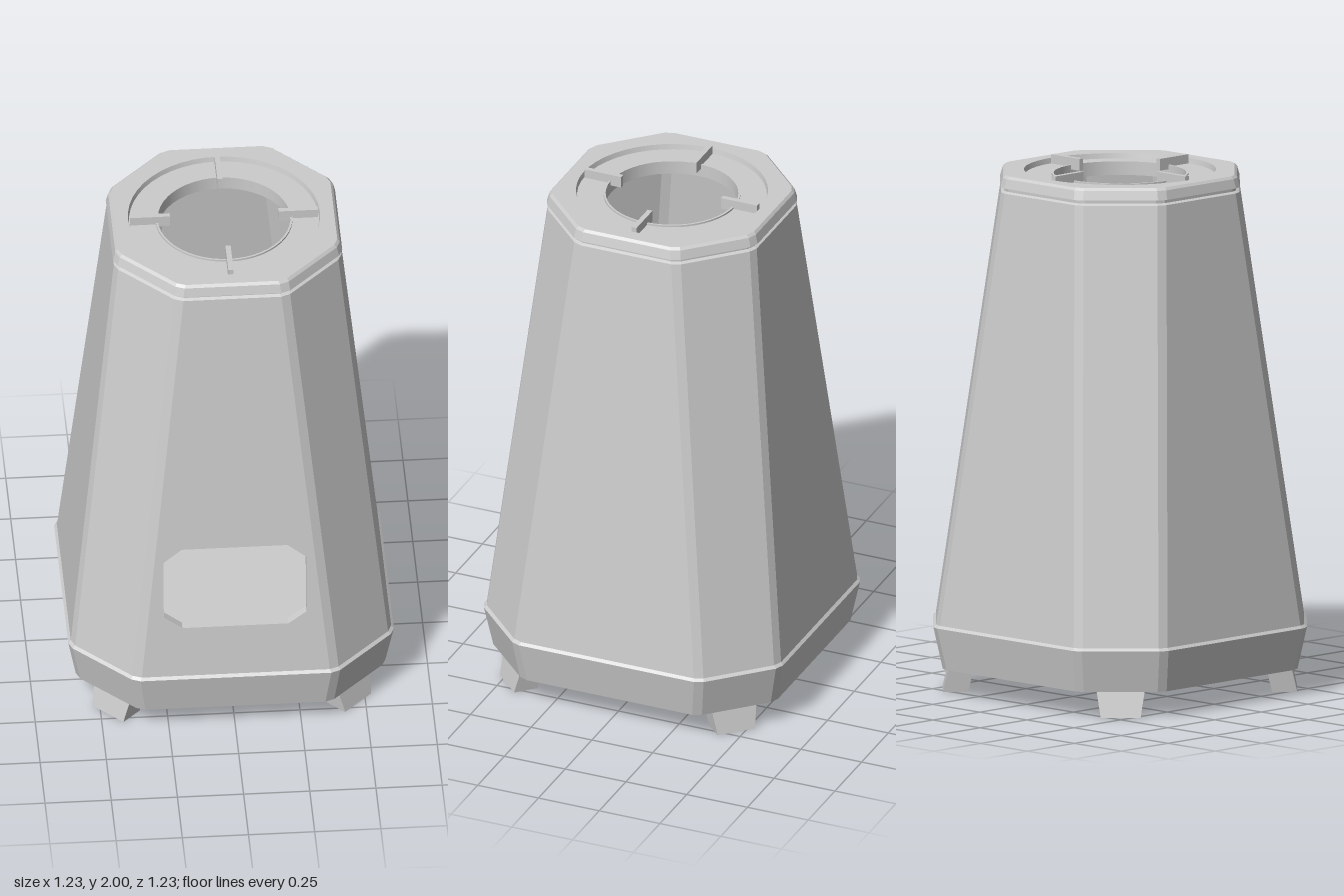
import * as THREE from 'three';

const mat = new THREE.MeshStandardMaterial({ color: 0xcccccc, flatShading: true });
const thinMat = new THREE.MeshStandardMaterial({ color: 0xcccccc, flatShading: true, side: THREE.DoubleSide });
const smoothMat = new THREE.MeshStandardMaterial({ color: 0xcccccc, side: THREE.DoubleSide });

// Octagon with softened corners: h = half extent, f = half width of a flat side
function octagon(h, f, t = 0.02) {
  const s = t * 0.707;
  const quarter = [[f - t, h], [f + s, h - s], [h - s, f + s], [h, f - t]];
  const pts = [];
  for (let k = 0; k < 4; k++) {
    for (const p of quarter) {
      let [x, z] = p;
      for (let r = 0; r < k; r++) [x, z] = [z, -x];
      pts.push([x, z]);
    }
  }
  return pts;
}

// Skin between octagon rings [y, h, f]; openFront leaves out the front panel
function loft(rings, openFront = false) {
  const pos = [];
  for (let r = 0; r < rings.length - 1; r++) {
    const [y0, h0, f0] = rings[r], [y1, h1, f1] = rings[r + 1];
    const lo = octagon(h0, f0), hi = octagon(h1, f1), n = lo.length;
    for (let i = 0; i < (openFront ? n - 1 : n); i++) {
      const j = (i + 1) % n;
      const a = [lo[i][0], y0, lo[i][1]], b = [lo[j][0], y0, lo[j][1]];
      const c = [hi[j][0], y1, hi[j][1]], d = [hi[i][0], y1, hi[i][1]];
      pos.push(...a, ...b, ...c, ...a, ...c, ...d);
    }
  }
  const geo = new THREE.BufferGeometry();
  geo.setAttribute('position', new THREE.Float32BufferAttribute(pos, 3));
  geo.computeVertexNormals();
  return geo;
}

const toShape = (pts) => new THREE.Shape(pts.map(([x, y]) => new THREE.Vector2(x, y)));

// Flat octagonal plate facing up or down, with an optional round hole
function plate(y, h, f, up, holeRadius = 0) {
  const shape = toShape(octagon(h, f));
  if (holeRadius) shape.holes.push(new THREE.Path().absarc(0, 0, holeRadius, 0, Math.PI * 2, true));
  const geo = new THREE.ShapeGeometry(shape, 24);
  geo.rotateX(up ? -Math.PI / 2 : Math.PI / 2);
  geo.translate(0, y, 0);
  return geo;
}

export function createModel() {
  const group = new THREE.Group();
  const add = (name, geo, material = mat) => {
    const mesh = new THREE.Mesh(geo, material);
    mesh.name = name;
    group.add(mesh);
    return mesh;
  };

  const y0 = 0.27, y1 = 1.92, h0 = 0.605, h1 = 0.43, f0 = 0.375, f1 = 0.205, wall = 0.035;

  // Flared base skirt with its underside and the chamber floor
  add('baseSkirt', loft([[0.1, 0.585, 0.36], [0.26, 0.615, 0.38], [0.27, 0.605, 0.375]]));
  add('baseUnderside', plate(0.1, 0.585, 0.36, false));
  add('chamberFloor', plate(0.28, 0.59, 0.365, true));

  // Tapered hollow body
  add('bodyShell', loft([[y0, h0, f0], [y1, h1, f1]], true));
  add('innerShell', loft([[y0, h0 - wall, f0 - 0.015], [y1, h1 - wall, f1 - 0.015]], true), thinMat);

  // Leaning front panel with the chamfered fuel opening
  const panel = toShape([[-f0 + 0.02, y0], [f0 - 0.02, y0], [f1 - 0.02, y1], [-f1 + 0.02, y1]]);
  const opening = [[0.27, 0.53], [0.27, 0.77], [0.2, 0.825], [-0.2, 0.825],
    [-0.27, 0.77], [-0.27, 0.53], [-0.2, 0.48], [0.2, 0.48]];
  panel.holes.push(new THREE.Path(opening.map(([x, y]) => new THREE.Vector2(x, y))));
  const front = new THREE.ExtrudeGeometry(panel, { depth: wall, bevelEnabled: false });
  const p = front.attributes.position;
  for (let i = 0; i < p.count; i++) {
    const lean = h0 + (h1 - h0) * (p.getY(i) - y0) / (y1 - y0);
    p.setZ(i, p.getZ(i) - wall + lean);
  }
  front.computeVertexNormals();
  add('frontPanel', front);

  // Top cap above a shadow groove
  add('topCap', loft([[1.92, 0.43, 0.205], [1.926, 0.418, 0.2], [1.94, 0.418, 0.2],
    [1.94, 0.433, 0.205], [1.975, 0.424, 0.2], [1.985, 0.415, 0.195]]));
  add('topPlate', plate(1.985, 0.415, 0.195, true, 0.362));

  // Round burner recess with a raised lip around the flue; each segment keeps hard edges
  const profile = [[0.362, 1.985], [0.358, 1.965], [0.258, 1.965], [0.258, 1.972], [0.25, 1.972], [0.25, 1.92]];
  for (let i = 0; i < profile.length - 1; i++) {
    const seg = [profile[i + 1], profile[i]].map(([r, y]) => new THREE.Vector2(r, y));
    add('burnerRing', new THREE.LatheGeometry(seg, 48), smoothMat);
  }

  // Four pot supports reaching over the flue
  for (let k = 0; k < 4; k++) {
    const bar = new THREE.BoxGeometry(0.15, 0.045, 0.02);
    bar.translate(0.28, 1.9775, 0);
    bar.rotateY(k * Math.PI / 2);
    add('potSupport', bar);
  }

  // Four tapered feet under the diagonal sides
  for (let k = 0; k < 4; k++) {
    const foot = new THREE.BoxGeometry(1, 0.11, 1);
    const q = foot.attributes.position;
    for (let i = 0; i < q.count; i++) {
      const top = q.getY(i) > 0;
      q.setX(i, q.getX(i) * (top ? 0.185 : 0.15));
      q.setZ(i, q.getZ(i) * 0.095 + (top ? 0.595 : 0.62));
    }
    foot.translate(0, 0.055, 0);
    foot.rotateY(Math.PI / 4 + k * Math.PI / 2);
    foot.computeVertexNormals();
    add('foot', foot);
  }

  return group;
}
